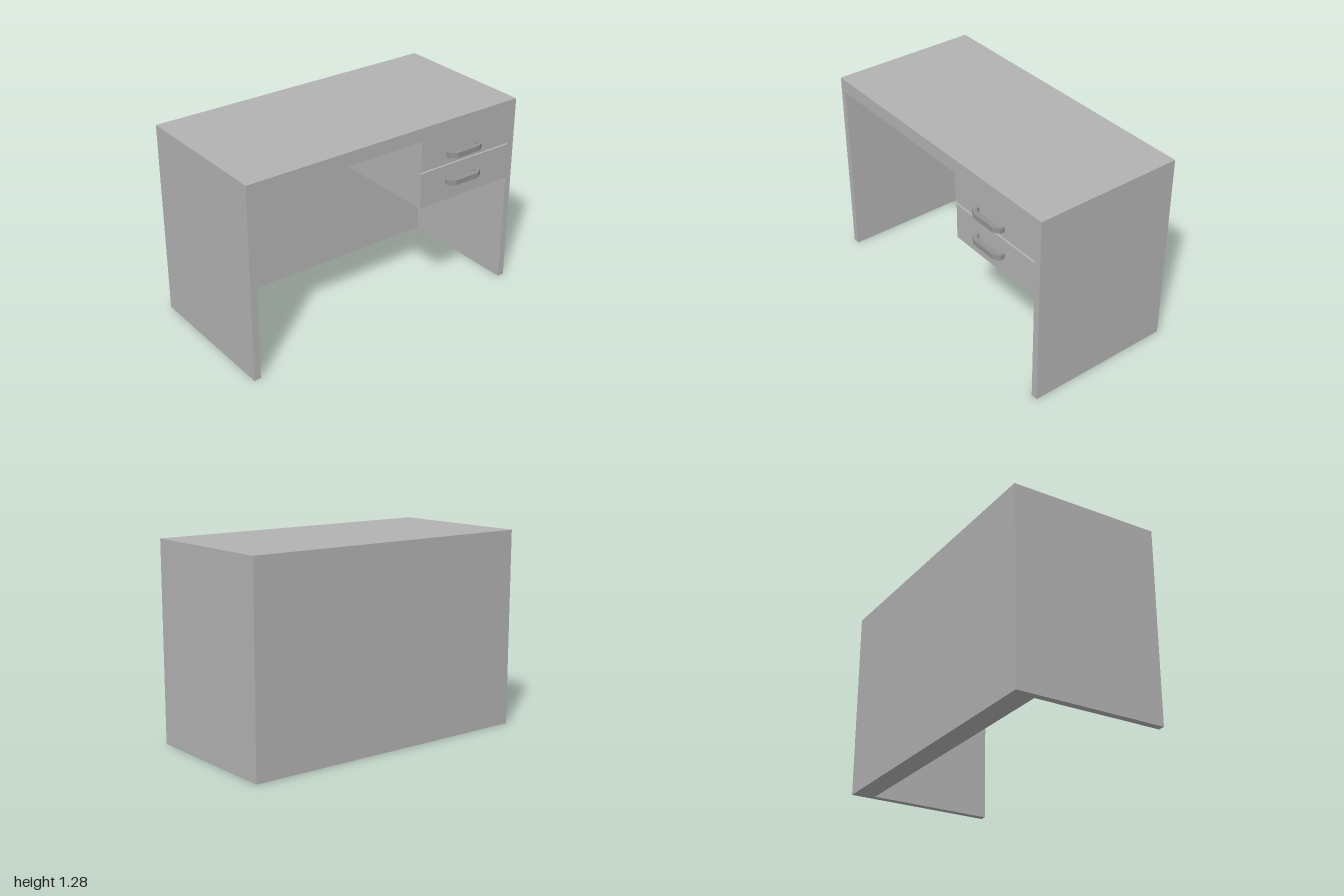
import * as THREE from 'three';

export function createModel() {
  const desk = new THREE.Group();
  desk.name = 'desk';

  const panelGrey = new THREE.MeshStandardMaterial({ color: 0xb2b2b2 });
  panelGrey.name = 'panel grey';
  const handleGrey = new THREE.MeshStandardMaterial({ color: 0x929292 });
  handleGrey.name = 'handle grey';

  // Overall extents; the open side with the drawers faces +x
  const back = -0.525, front = 0.463, innerBack = -0.38;
  const height = 1.285, underTop = 1.197, innerSide = 0.955;

  // Box given by its minimum and maximum corners
  function box(name, [x0, y0, z0], [x1, y1, z1]) {
    const mesh = new THREE.Mesh(new THREE.BoxGeometry(x1 - x0, y1 - y0, z1 - z0), panelGrey);
    mesh.position.set((x0 + x1) / 2, (y0 + y1) / 2, (z0 + z1) / 2);
    mesh.name = name;
    desk.add(mesh);
  }

  box('tabletop', [back, underTop, -1], [front, height, 1]);
  box('backPanel', [back, 0, -innerSide], [innerBack, underTop, innerSide]);
  box('leftSidePanel', [back, 0, innerSide], [front, underTop, 1]);
  box('rightSidePanel', [back, 0, -1], [front, underTop, -innerSide]);

  // Drawer block: two drawers with a shallow groove between them
  const drawerEnd = -0.237;
  box('lowerDrawer', [innerBack, 0.745, -innerSide], [front, 0.982, drawerEnd]);
  box('drawerGroove', [innerBack, 0.982, -innerSide], [front - 0.015, 0.998, drawerEnd]);
  box('upperDrawer', [innerBack, 0.998, -innerSide], [front, underTop, drawerEnd]);

  // Handle: chamfered bracket outline, x = distance from drawer, y = along the drawer
  const outline = [
    [0, -0.13], [0.033, -0.13], [0.06, -0.088], [0.06, 0.088], [0.033, 0.13], [0, 0.13],
    [0, 0.106], [0.022, 0.106], [0.028, 0.09], [0.028, -0.09], [0.022, -0.106], [0, -0.106],
  ].map(([x, y]) => new THREE.Vector2(x, y));
  const handleGeometry = new THREE.ExtrudeGeometry(new THREE.Shape(outline), {
    depth: 0.034, bevelEnabled: false,
  });
  handleGeometry.rotateX(-Math.PI / 2);

  [['lowerHandle', 0.859], ['upperHandle', 1.045]].forEach(([name, y]) => {
    const handle = new THREE.Mesh(handleGeometry, handleGrey);
    handle.position.set(front, y, -0.563);
    handle.name = name;
    desk.add(handle);
  });

  return desk;
}
